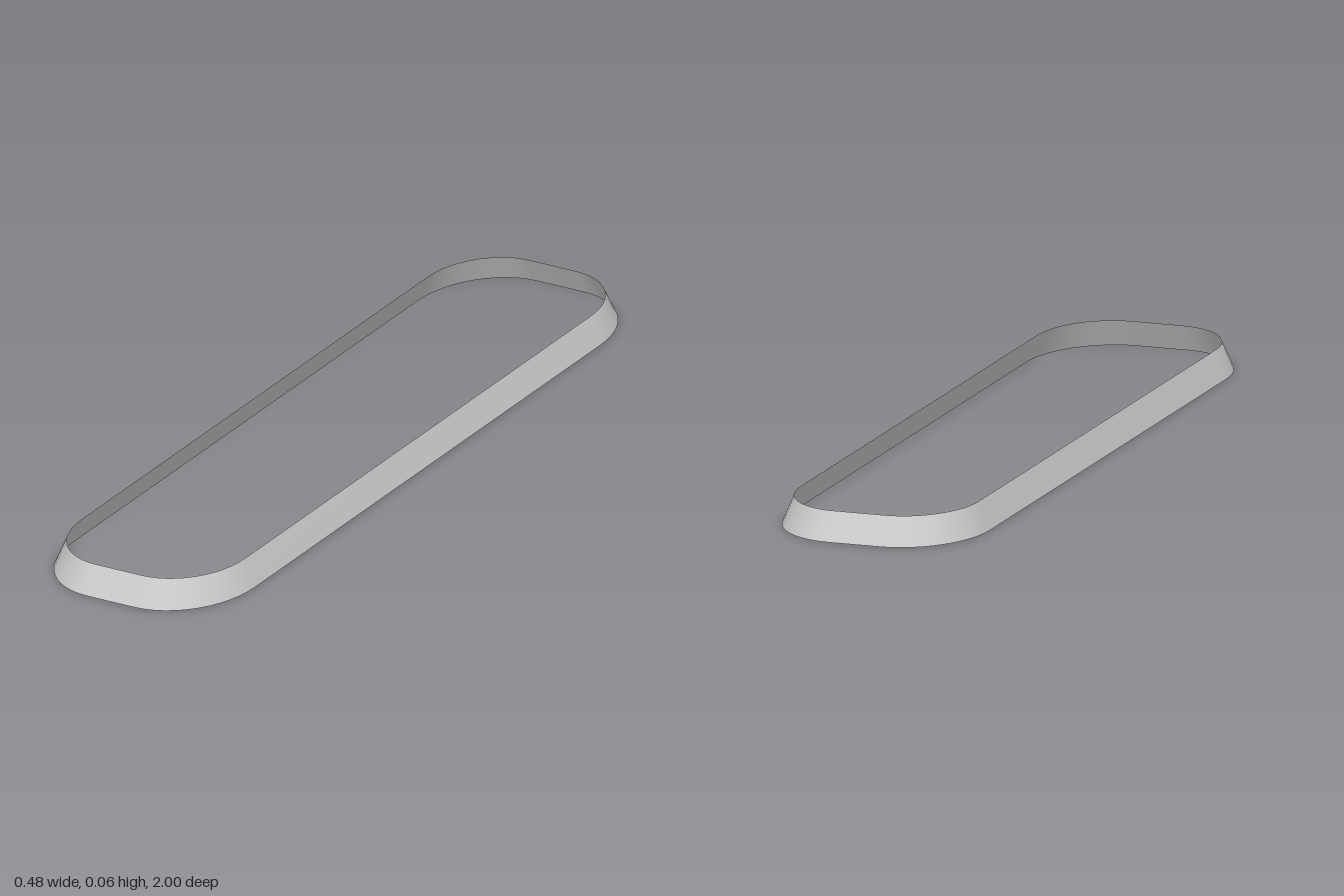
import * as THREE from 'three';

const CORNER_STEPS = 12;
const CORE_X = 0.06, CORE_Z = 0.77; // centres of the rounded corners

// Closed rounded outline at one height, given its half width and half length
function outline(halfX, halfZ, y) {
  const points = [];
  for (let q = 0; q < 4; q++) {
    const sx = q === 0 || q === 3 ? 1 : -1;
    const sz = q < 2 ? 1 : -1;
    for (let i = 0; i <= CORNER_STEPS; i++) {
      const a = (q + i / CORNER_STEPS) * Math.PI / 2;
      points.push(
        sx * CORE_X + (halfX - CORE_X) * Math.cos(a),
        y,
        sz * CORE_Z + (halfZ - CORE_Z) * Math.sin(a)
      );
    }
  }
  return points;
}

export function createModel() {
  const group = new THREE.Group();
  group.name = 'slopedFrame';

  // Thin open band leaning inwards from the base outline to the top outline
  const base = outline(0.238, 1, 0);
  const top = outline(0.212, 0.965, 0.065);
  const n = base.length / 3;
  const index = [];
  for (let i = 0; i < n; i++) {
    const j = (i + 1) % n;
    index.push(i, n + i, j, j, n + i, n + j);
  }
  const geometry = new THREE.BufferGeometry();
  geometry.setAttribute('position', new THREE.Float32BufferAttribute([...base, ...top], 3));
  geometry.setIndex(index);
  geometry.computeVertexNormals();

  const band = new THREE.Mesh(geometry, new THREE.MeshStandardMaterial({
    color: 0xcccccc, side: THREE.DoubleSide
  }));
  band.name = 'slopedBand';
  group.add(band);
  return group;
}
